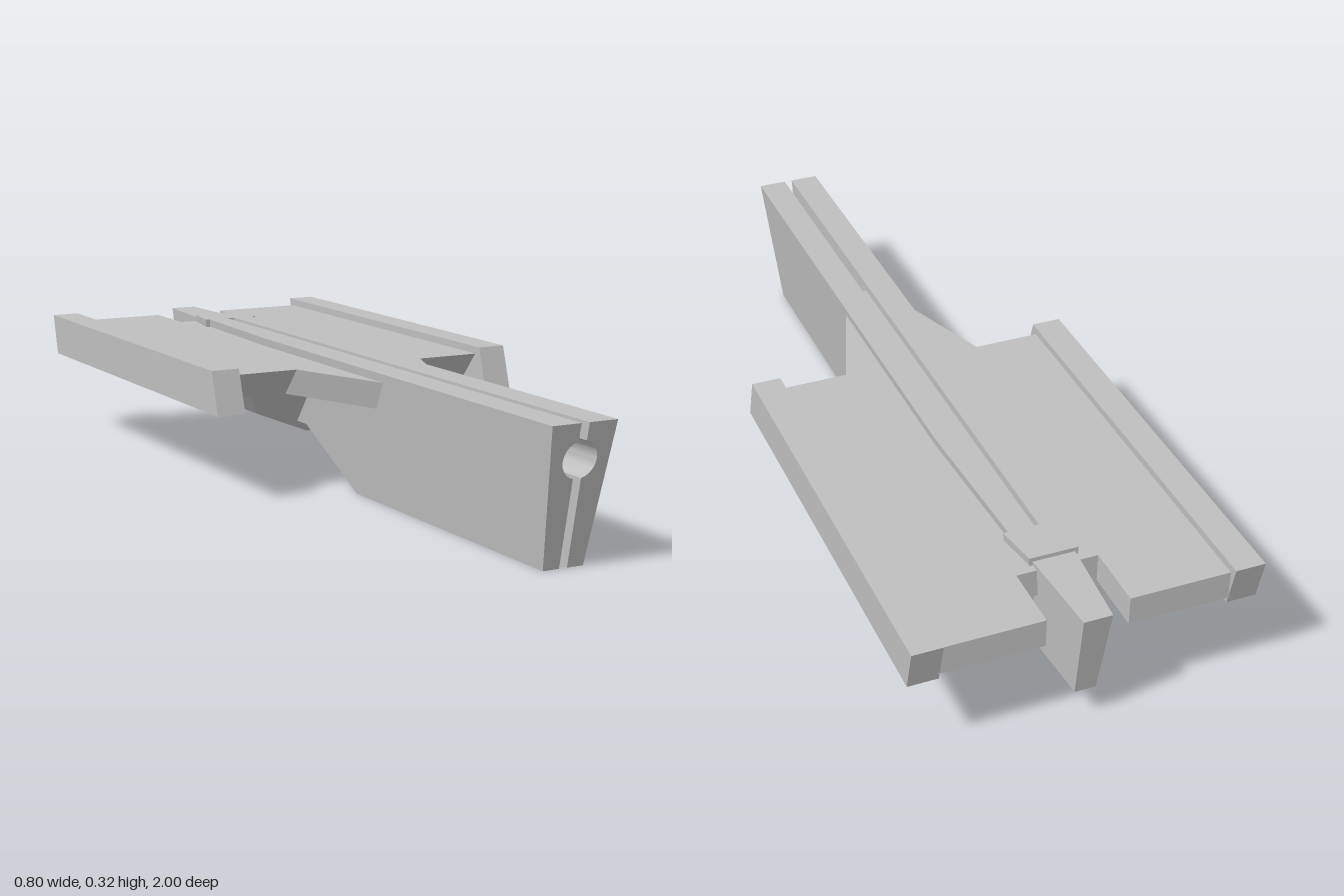
import * as THREE from 'three';
import { toCreasedNormals } from 'three/addons/utils/BufferGeometryUtils.js';

const hullGrey = new THREE.MeshStandardMaterial({ color: 0xbfbfbf });
hullGrey.name = 'hullGrey';

// Move every vertex of a geometry by a rule, then restore sharp edges
function reshape(geo, rule) {
  const p = geo.attributes.position;
  const v = new THREE.Vector3();
  for (let i = 0; i < p.count; i++) {
    v.fromBufferAttribute(p, i);
    rule(v);
    p.setXYZ(i, v.x, v.y, v.z);
  }
  return toCreasedNormals(geo, 0.45);
}

const polygon = pts => new THREE.Shape(pts.map(([x, y]) => new THREE.Vector2(x, y)));

// Mirror a right-hand outline across x = 0 into a closed polygon
const mirrored = pts => polygon([...pts, ...pts.map(([x, y]) => [-x, y]).reverse()]);

const TOP = 0.32;
const wallX = y => 0.05 + 0.03 * y / TOP; // hull flares towards the top
const stationZ = [-0.78, -0.3, -0.11, 0.13, 1];
const stationBottom = [0.13, 0.13, 0.13, 0, 0];
const stationWidth = [0.725, 1, 1, 1, 1];

// One half of the keel hull, with its share of the slot and round bore
function hullHalf(side) {
  const gap = 0.01, r = 0.042, cy = 0.24;
  const a = Math.acos(gap / r);
  const pts = [[0.05, 0], [0.08, TOP], [gap, TOP]];
  for (let i = 0; i <= 14; i++) {
    const t = a - 2 * a * i / 14;
    pts.push([r * Math.cos(t), cy + r * Math.sin(t)]);
  }
  pts.push([gap, 0]);
  const geo = new THREE.ExtrudeGeometry(polygon(pts.map(([x, y]) => [x * side, y])),
    { depth: 4, steps: 4, bevelEnabled: false });
  return reshape(geo, v => {
    const k = Math.round(v.z);
    if (v.y < 0.001) v.y = stationBottom[k];
    if (Math.abs(v.x) > 0.045) v.x = side * wallX(v.y) * stationWidth[k];
    v.z = stationZ[k] - (k === 4 ? 0.07 * (1 - v.y / TOP) : 0);
  });
}

export function createModel() {
  const model = new THREE.Group();
  const add = (name, geo) => {
    const mesh = new THREE.Mesh(geo, hullGrey);
    mesh.name = name;
    model.add(mesh);
  };

  // Split keel hull
  add('leftHull', hullHalf(1));
  add('rightHull', hullHalf(-1));

  // Solid block closing the slot and bore at the rear
  add('hullRearBlock', reshape(new THREE.BoxGeometry(2, 1, 1), v => {
    const rear = v.z < 0;
    v.y = v.y > 0 ? TOP : 0.13;
    v.x *= wallX(v.y) * (rear ? 0.725 : 0.94) - 0.001;
    v.z = rear ? -0.781 : -0.68;
  }));

  // Wing plate with a pointed, undercut front and a rear notch
  const plate = new THREE.ExtrudeGeometry(mirrored([
    [0.044, -0.4], [0.17, -0.05], [0.335, -0.05], [0.335, 0.955], [0.095, 0.955], [0.095, 0.8],
  ]), { depth: 0.068, bevelEnabled: false });
  plate.rotateX(-Math.PI / 2);
  add('wingPlate', reshape(plate, v => {
    if (v.y < 0.01 && v.z > 0) v.z -= 0.06;
    v.y += 0.232;
  }));

  // Side rails with raked ends
  for (const [name, side] of [['leftRail', 1], ['rightRail', -1]]) {
    add(name, reshape(new THREE.BoxGeometry(0.07, 1, 1), v => {
      const top = v.y > 0;
      v.x += 0.365 * side;
      v.y = top ? 0.318 : 0.215;
      v.z = v.z > 0 ? (top ? 0.068 : 0.1) : (top ? -0.975 : -0.95);
    }));
  }

  // Faceted belly pod with a sloping nose
  const pod = new THREE.ExtrudeGeometry(mirrored([
    [0.02, 0.095], [0.19, 0.165], [0.241, 0.233],
  ]), { depth: 1, bevelEnabled: false });
  add('bellyPod', reshape(pod, v => {
    v.z = v.z > 0.5 ? -0.065 - (0.233 - v.y) * 0.92 : -0.755;
  }));

  // Tail fin, narrowing backwards and downwards
  add('tailFin', reshape(new THREE.BoxGeometry(2, 1, 1), v => {
    const top = v.y > 0, rear = v.z < 0;
    v.x *= (rear ? 0.033 : 0.05) * (top ? 1 : 0.75);
    v.y = top ? 0.31 : 0.085;
    v.z = rear ? (top ? -1 : -0.96) : -0.775;
  }));

  return model;
}
